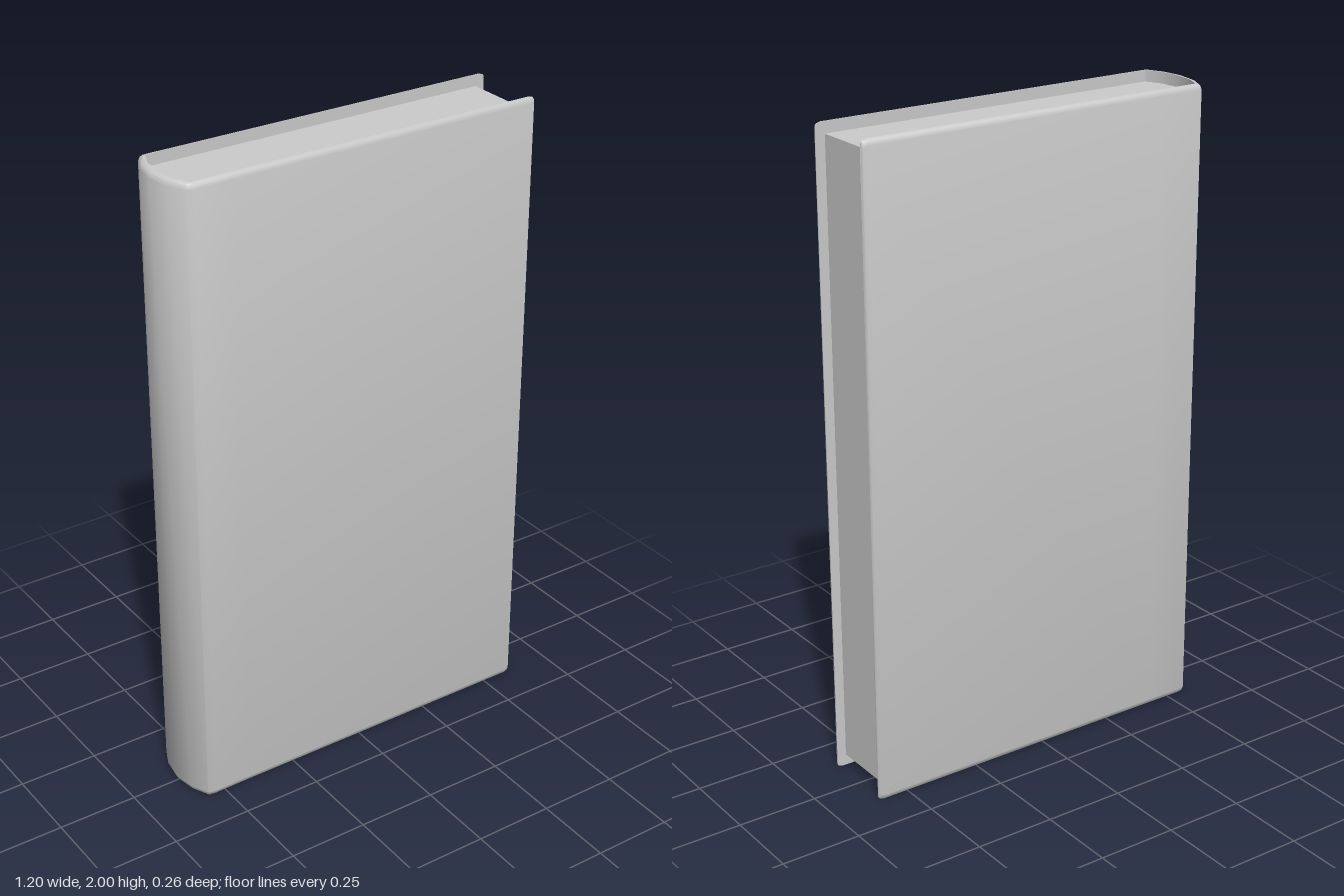
import * as THREE from 'three';
import { toCreasedNormals } from 'three/addons/utils/BufferGeometryUtils.js';

const HEIGHT = 2;

// Front half of the cover seen from above, fore edge to spine:
// inner x, inner z, outer x, outer z, rounding of the corner in y
const half = [
  [0.6, 0.115, 0.6, 0.119, 0.01],
  [0.596, 0.115, 0.596, 0.125, 0.004],
  [0.582, 0.115, 0.582, 0.128, 0],
  [-0.42, 0.115, -0.42, 0.128, 0],
  [-0.53, 0.115, -0.54, 0.13, 0],
  [-0.545, 0.115, -0.562, 0.125, 0],
  [-0.567, 0.065, -0.588, 0.07, 0],
];
const mirrorZ = ([ix, iz, ox, oz, c]) => [ix, -iz, ox, -oz, c];
const stations = [...half, [-0.575, 0, -0.6, 0, 0], ...half.map(mirrorZ).reverse()];

// Board section: fraction of the thickness, distance from the end
const edge = [[0, 0], [0.3, 0], [0.75, 0.005], [1, 0.018]];
const section = [
  [0, 0],
  ...edge.map(([f, d]) => [f, HEIGHT - d]),
  ...edge.slice(1).reverse().map(([f, d]) => [f, d]),
];

function coverGeometry() {
  const n = section.length;
  const positions = [];
  const index = [];
  stations.forEach(([ix, iz, ox, oz, c]) => {
    section.forEach(([f, y]) => {
      const inset = y > HEIGHT / 2 ? -c : c;
      positions.push(ix + (ox - ix) * f, y + inset, iz + (oz - iz) * f);
    });
  });
  for (let i = 0; i < stations.length - 1; i++) {
    for (let j = 0; j < n; j++) {
      const k = (j + 1) % n;
      const a = i * n + j, b = a + n, c = i * n + k, d = c + n;
      index.push(a, b, c, b, d, c);
    }
  }
  // Close both fore edges
  const last = (stations.length - 1) * n;
  for (let j = 1; j < n - 1; j++) {
    index.push(0, j, j + 1, last, last + j + 1, last + j);
  }
  const geometry = new THREE.BufferGeometry();
  geometry.setAttribute('position', new THREE.Float32BufferAttribute(positions, 3));
  geometry.setIndex(index);
  return toCreasedNormals(geometry, 0.75);
}

// Page block fills the cover and stops short of its three open edges
function pagesGeometry() {
  const margin = 0.035;
  const outline = [
    [0.57, 0.115], [-0.545, 0.115], [-0.567, 0.065], [-0.575, 0],
    [-0.567, -0.065], [-0.545, -0.115], [0.57, -0.115],
  ];
  const shape = new THREE.Shape(outline.map(([x, z]) => new THREE.Vector2(x, z)));
  const geometry = new THREE.ExtrudeGeometry(shape, {
    depth: HEIGHT - 2 * margin,
    bevelEnabled: false,
  });
  geometry.rotateX(-Math.PI / 2);
  geometry.translate(0, margin, 0);
  return geometry;
}

export function createModel() {
  const group = new THREE.Group();
  group.name = 'book';
  const material = new THREE.MeshStandardMaterial({ color: 0xcccccc });
  const add = (name, geometry) => {
    const mesh = new THREE.Mesh(geometry, material);
    mesh.name = name;
    group.add(mesh);
  };
  add('cover', coverGeometry());
  add('pages', pagesGeometry());
  return group;
}
